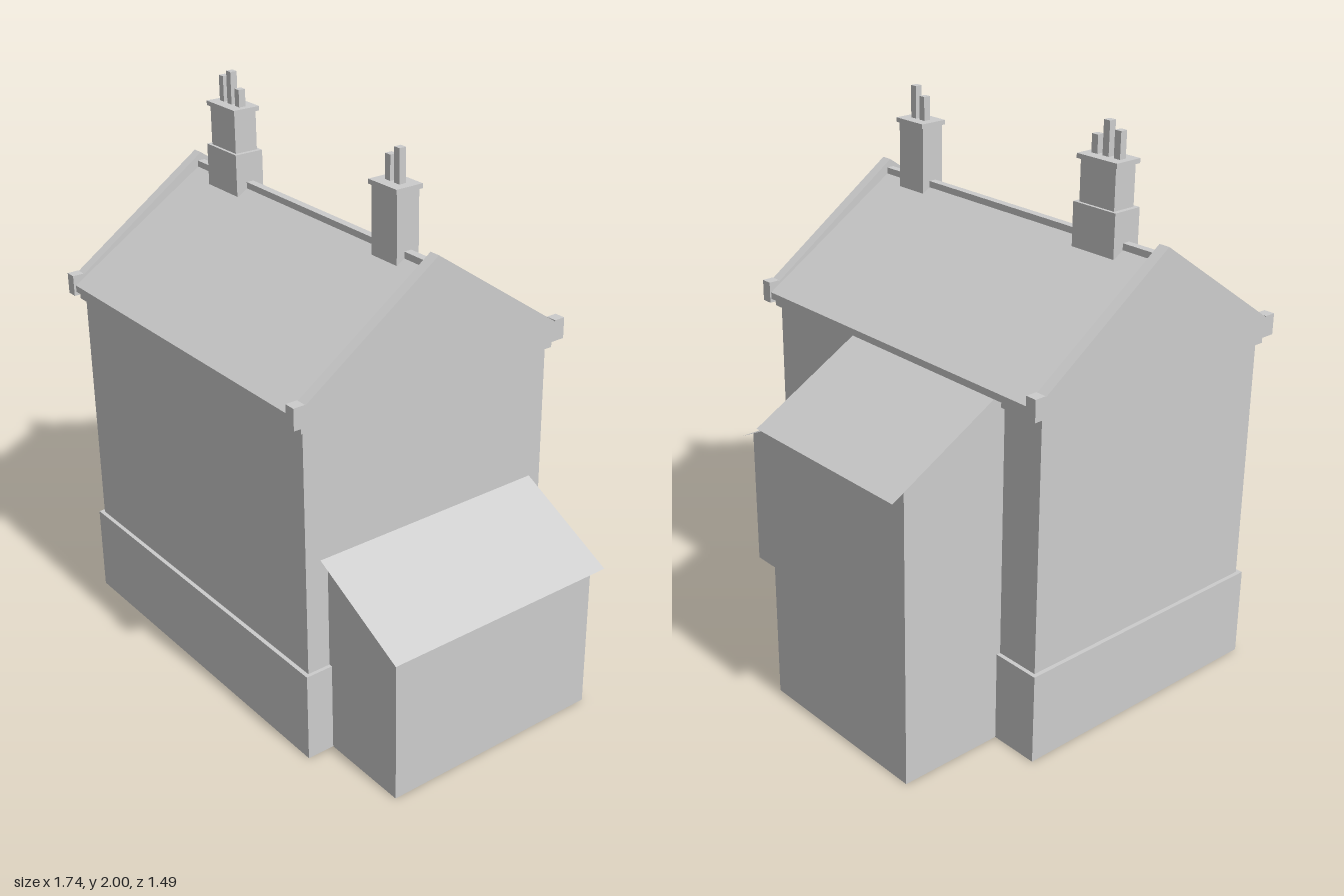
import * as THREE from 'three';

const RIDGE_Z = 0.193;

export function createModel() {
  const house = new THREE.Group();
  house.name = 'house';
  const stone = new THREE.MeshStandardMaterial({ color: 0xcccccc, side: THREE.DoubleSide });
  stone.name = 'pale grey stone';

  const add = (name, geometry, parent = house) => {
    const mesh = new THREE.Mesh(geometry, stone);
    mesh.name = name;
    parent.add(mesh);
    return mesh;
  };

  // Box given by its limits on each axis
  const box = ([x0, x1], [y0, y1], [z0, z1]) =>
    new THREE.BoxGeometry(x1 - x0, y1 - y0, z1 - z0)
      .translate((x0 + x1) / 2, (y0 + y1) / 2, (z0 + z1) / 2);

  // Box without its floor, and without its top where a roof covers it
  const openBox = (x, y, z, hasTop) => {
    const g = box(x, y, z);
    const index = Array.from(g.index.array);
    index.splice(18, 6);
    if (!hasTop) index.splice(12, 6);
    g.setIndex(index);
    g.clearGroups();
    return g;
  };

  // Walls whose upper corners follow a sloping roof line
  const slopedWalls = (x, z, height) => {
    const g = openBox(x, [0, 1], z, false);
    const p = g.attributes.position;
    for (let i = 0; i < p.count; i++) {
      if (p.getY(i) > 0.5) p.setY(i, height(p.getX(i), p.getZ(i)));
    }
    return g;
  };

  // Thin roof sheet lying on the same roof line
  const roofSheet = ([x0, x1], [z0, z1], height) => {
    const g = new THREE.PlaneGeometry(x1 - x0, z1 - z0).rotateX(-Math.PI / 2)
      .translate((x0 + x1) / 2, 0, (z0 + z1) / 2);
    const p = g.attributes.position;
    for (let i = 0; i < p.count; i++) p.setY(i, height(p.getX(i), p.getZ(i)));
    g.computeVertexNormals();
    return g;
  };

  // Profile of [z, y] points extruded along x
  const alongX = (profile, x0, x1) => {
    const shape = new THREE.Shape(profile.map(([z, y]) => new THREE.Vector2(-z, y)));
    return new THREE.ExtrudeGeometry(shape, { depth: x1 - x0, bevelEnabled: false })
      .rotateY(Math.PI / 2).translate(x0, 0, 0);
  };

  // Main body
  add('plinth', openBox([-0.857, 0.5], [0, 0.323], [-0.317, 0.71], true));
  add('mainWalls', openBox([-0.842, 0.487], [0.323, 1.204], [-0.302, 0.695], false));
  add('eavesBand', box([-0.857, 0.502], [1.204, 1.244], [-0.317, 0.71]));

  // Main roof and ridge
  add('mainRoof', alongX([
    [0.737, 1.244], [0.737, 1.268], [RIDGE_Z, 1.612], [-0.353, 1.268], [-0.353, 1.244],
  ], -0.83, 0.475));
  add('ridgeCap', box([-0.83, 0.475], [1.59, 1.626], [RIDGE_Z - 0.014, RIDGE_Z + 0.014]));

  // Gable parapets with a block at each foot
  for (const [x0, x1] of [[-0.87, -0.83], [0.475, 0.515]]) {
    const gable = new THREE.Group();
    gable.name = 'gableParapet';
    house.add(gable);
    add('gable', alongX([
      [0.705, 1.23], [0.705, 1.3], [RIDGE_Z, 1.655], [-0.318, 1.3], [-0.318, 1.23],
    ], x0, x1), gable);
    add('frontFootBlock', box([x0, x1], [1.23, 1.305], [0.703, 0.745]), gable);
    add('backFootBlock', box([x0, x1], [1.23, 1.305], [-0.358, -0.317]), gable);
  }

  // Side lean-to
  const sideSlope = (x) => 0.73 - 0.505 * (x - 0.487);
  add('sideWalls', slopedWalls([0.487, 0.833], [-0.222, 0.61], sideSlope));
  add('sideRoof', roofSheet([0.487, 0.866], [-0.254, 0.638], sideSlope));

  // Rear wing
  const rearSlope = (x, z) => 1.045 + 0.557 * (z + 0.703);
  add('rearWalls', slopedWalls([-0.68, 0.01], [-0.703, -0.302], rearSlope));
  add('rearRoof', roofSheet([-0.682, 0.012], [-0.748, -0.302], rearSlope));

  // Chimneys: stacked blocks, then square pots as [centre x, top y]
  const chimney = (name, blocks, pots) => {
    const group = new THREE.Group();
    group.name = name;
    house.add(group);
    for (const [part, x, y, half] of blocks) {
      add(part, box(x, y, [RIDGE_Z - half, RIDGE_Z + half]), group);
    }
    const potBase = blocks[blocks.length - 1][2][1];
    for (const [x, top] of pots) {
      add('chimneyPot', box([x - 0.013, x + 0.013], [potBase, top],
        [RIDGE_Z - 0.013, RIDGE_Z + 0.013]), group);
    }
  };
  chimney('largeChimney', [
    ['base', [-0.693, -0.511], [1.58, 1.73], 0.055],
    ['stack', [-0.677, -0.527], [1.73, 1.87], 0.044],
    ['cap', [-0.688, -0.516], [1.87, 1.886], 0.052],
  ], [[-0.65, 1.976], [-0.602, 2.0], [-0.554, 1.947]]);
  chimney('smallChimney', [
    ['stack', [0.238, 0.365], [1.585, 1.82], 0.044],
    ['cap', [0.232, 0.372], [1.82, 1.836], 0.052],
  ], [[0.28, 1.92], [0.325, 1.951]]);

  // Recompute normals of the sloped pieces
  house.traverse((o) => { if (o.isMesh) o.geometry.computeVertexNormals(); });
  return house;
}
